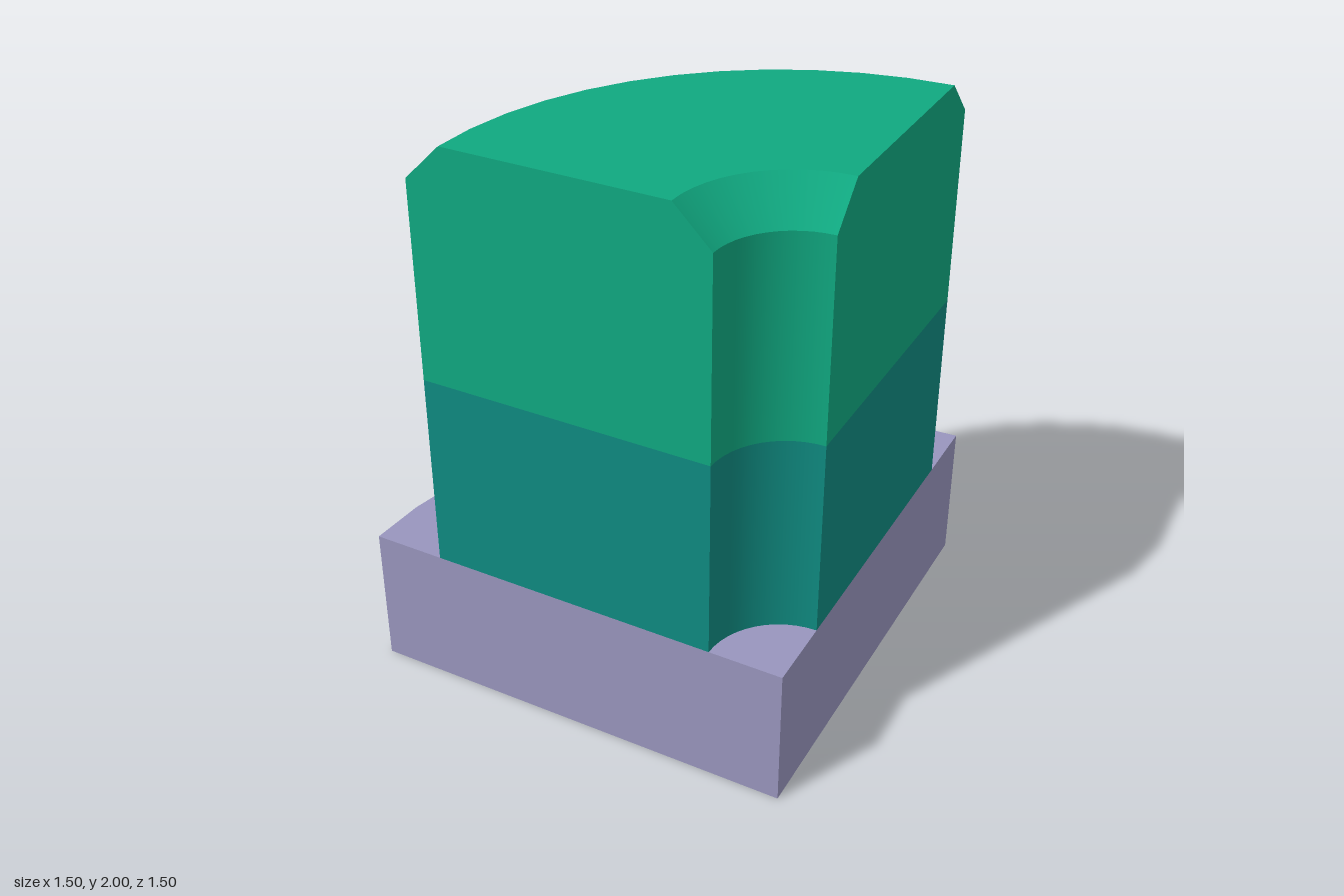
import * as THREE from 'three';
import { mergeGeometries } from 'three/addons/utils/BufferGeometryUtils.js';

const SEGMENTS = 12; // facets along the quarter turn

// Quarter-turn solid: each wall is a path of [radius, height] points, running
// up the outside and down the inside; all paths together outline the cut faces.
function quarterSolid(name, color, walls) {
  const parts = [];
  // Curved surfaces, one band per profile edge so the edges stay sharp
  for (const wall of walls) {
    for (let i = 0; i < wall.length - 1; i++) {
      const band = [wall[i], wall[i + 1]].map(([r, y]) => new THREE.Vector2(r, y));
      parts.push(new THREE.LatheGeometry(band, SEGMENTS, Math.PI, Math.PI / 2));
    }
  }
  // Two flat cut faces, facing +z and +x
  const outline = walls.flat();
  const face = (sign) => new THREE.ShapeGeometry(
    new THREE.Shape(outline.map(([r, y]) => new THREE.Vector2(sign * r, y))));
  parts.push(face(-1), face(1).rotateY(Math.PI / 2));

  const mesh = new THREE.Mesh(mergeGeometries(parts), new THREE.MeshStandardMaterial({ color }));
  mesh.name = name;
  return mesh;
}

export function createModel() {
  const model = new THREE.Group();
  model.name = 'quarterColumn';

  // Solid plinth
  const base = quarterSolid('base', 0x9895bd, [
    [[0, 0], [1.5, 0], [1.5, 0.5], [0, 0.5]],
  ]);
  // Lower sleeve: outer wall and bore
  const lowerSleeve = quarterSolid('lowerSleeve', 0x0f8a80, [
    [[1.25, 0.5], [1.25, 1.19]],
    [[0.25, 1.19], [0.25, 0.5]],
  ]);
  // Upper sleeve with chamfered rim and bore mouth
  const upperSleeve = quarterSolid('upperSleeve', 0x10a880, [
    [[1.25, 1.19], [1.25, 1.875], [1.125, 2], [0.375, 2], [0.25, 1.875], [0.25, 1.19]],
  ]);

  // The axis stands at the front left corner
  for (const part of [base, lowerSleeve, upperSleeve]) {
    part.position.set(0.75, 0, 0.75);
    model.add(part);
  }
  return model;
}
